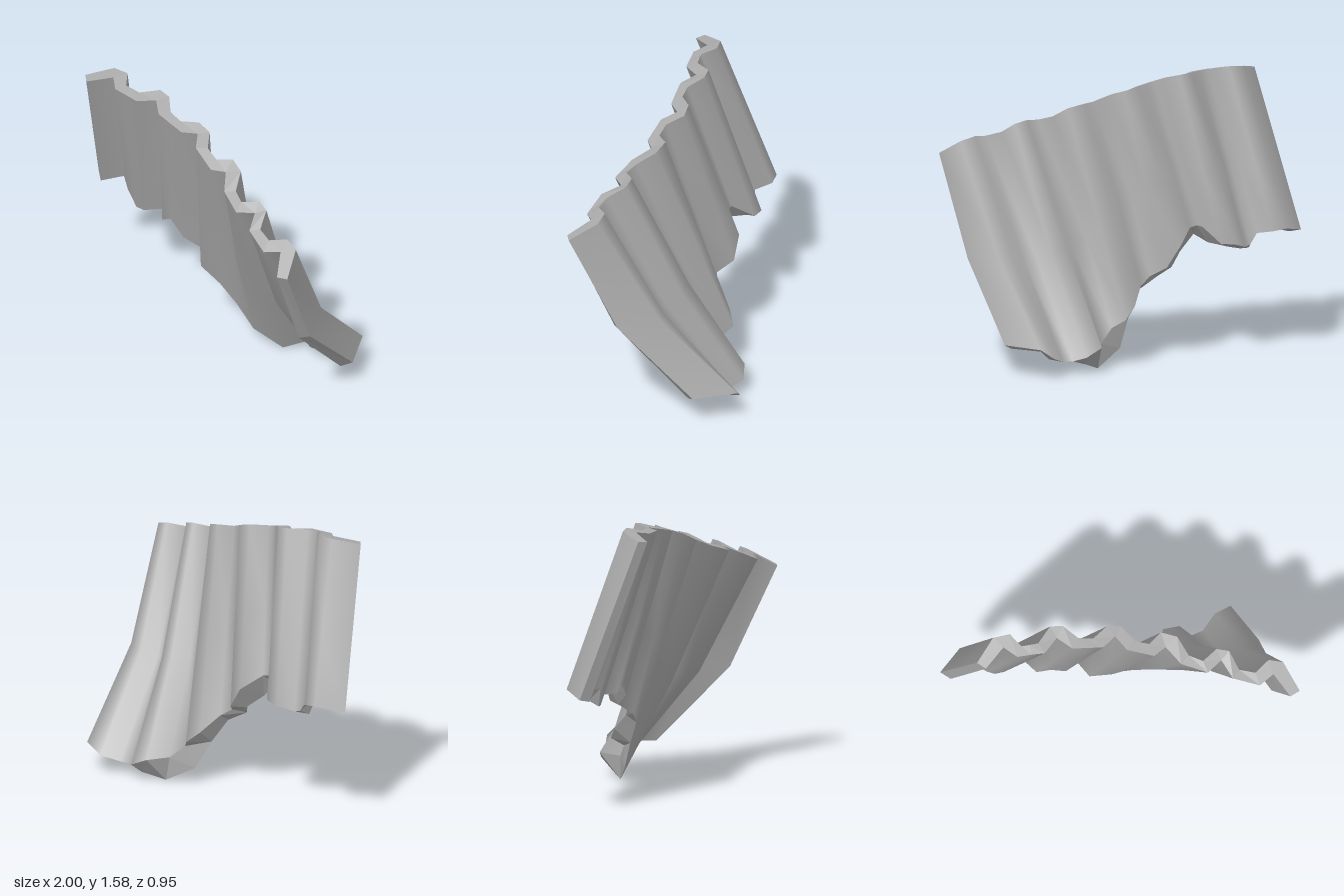
import * as THREE from 'three';
import { mergeVertices } from 'three/addons/utils/BufferGeometryUtils.js';

// Edge profiles of the bent sheet, from right hand (-x) to left hand (+x)
const backTop = [
  [-0.78, 1.54, 0.44], [-0.70, 1.575, 0.30], [-0.61, 1.58, 0.275], [-0.54, 1.56, 0.335], [-0.50, 1.56, 0.325],
  [-0.45, 1.555, 0.31], [-0.39, 1.565, 0.21], [-0.32, 1.555, 0.20], [-0.23, 1.525, 0.255], [-0.19, 1.515, 0.25],
  [-0.15, 1.505, 0.245], [-0.08, 1.505, 0.17], [0, 1.48, 0.155], [0.08, 1.445, 0.225], [0.16, 1.415, 0.225],
  [0.22, 1.42, 0.155], [0.31, 1.395, 0.165], [0.38, 1.335, 0.25], [0.46, 1.315, 0.27], [0.53, 1.33, 0.20],
  [0.60, 1.31, 0.20], [0.66, 1.25, 0.285], [0.75, 1.23, 0.29], [0.82, 1.245, 0.215], [0.90, 1.22, 0.215],
  [1.0, 1.13, 0.345]];
const backBottom = [
  [-1.0, 0.665, 0.19], [-0.90, 0.70, 0.055], [-0.82, 0.69, 0.04], [-0.74, 0.67, 0.105], [-0.70, 0.61, 0.09],
  [-0.67, 0.60, 0.075], [-0.61, 0.63, -0.005], [-0.52, 0.64, -0.01], [-0.43, 0.72, 0.085], [-0.40, 0.73, 0.08],
  [-0.36, 0.72, 0.07], [-0.29, 0.64, -0.035], [-0.21, 0.52, -0.045], [-0.13, 0.465, 0.02], [-0.07, 0.42, -0.02],
  [-0.02, 0.325, -0.12], [0.04, 0.26, -0.175], [0.11, 0.21, -0.13], [0.18, 0.135, -0.19], [0.20, 0.14, -0.33],
  [0.29, 0.096, -0.37], [0.36, 0.07, -0.33], [0.42, 0.075, -0.36], [0.48, 0.11, -0.45], [0.565, 0.17, -0.48],
  [0.735, 0.165, -0.29]];
const frontTop = [
  [-0.73, 1.535, 0.47], [-0.64, 1.565, 0.35], [-0.56, 1.55, 0.395], [-0.48, 1.545, 0.375], [-0.41, 1.54, 0.36],
  [-0.35, 1.54, 0.267], [-0.26, 1.52, 0.316], [-0.17, 1.50, 0.30], [-0.09, 1.48, 0.283], [-0.03, 1.475, 0.214],
  [0.04, 1.445, 0.278], [0.19, 1.385, 0.283], [0.25, 1.38, 0.225], [0.34, 1.33, 0.30], [0.49, 1.285, 0.326],
  [0.56, 1.29, 0.25], [0.63, 1.245, 0.337], [0.78, 1.19, 0.348], [0.85, 1.205, 0.283], [0.95, 1.13, 0.38]];
const frontBottom = [
  [-0.94, 0.65, 0.22], [-0.86, 0.685, 0.12], [-0.74, 0.69, 0.18], [-0.70, 0.58, 0.15], [-0.65, 0.58, 0.135],
  [-0.56, 0.61, 0.06], [-0.47, 0.62, 0.14], [-0.39, 0.67, 0.14], [-0.31, 0.58, 0.11], [-0.25, 0.51, 0.03],
  [-0.18, 0.45, 0.085], [-0.06, 0.38, 0.04], [0, 0.25, -0.03], [0.06, 0.09, -0.10], [0.20, 0, -0.20],
  [0.28, 0.045, -0.31], [0.36, 0.065, -0.27], [0.49, 0.08, -0.30], [0.55, 0.145, -0.40], [0.69, 0.135, -0.24]];

// Each sharp front groove lies opposite a two-point ridge on the back
const frontColumn = [0, 1, 1, 2, 3, 4, 5, 5, 6, 7, 8, 9, 9, 10, 11, 12, 12, 13, 14, 15, 15, 16, 17, 18, 18, 19];

// Fold row: the sheet kinks more and more toward its +x end
const foldRow = (top, bottom) => top.map((p, i) => {
  const w = Math.max(0, (i - 16) / 9);
  const offset = [0.03 * w, 0, 0.12 * w];
  return p.map((v, k) => v + (bottom[i][k] - v) * 0.57 + offset[k]);
});

// Surface through rows of points; rows run downward, columns run rightward
function surface(rows, smooth) {
  const pos = [];
  const same = (a, b) => a.every((v, k) => v === b[k]);
  const triangle = (a, b, c) => {
    if (!same(a, b) && !same(b, c) && !same(c, a)) pos.push(...a, ...b, ...c);
  };
  for (let r = 0; r < rows.length - 1; r++) {
    for (let i = 0; i < rows[r].length - 1; i++) {
      const a = rows[r][i], b = rows[r + 1][i], c = rows[r + 1][i + 1], d = rows[r][i + 1];
      triangle(a, b, c);
      triangle(a, c, d);
    }
  }
  let geo = new THREE.BufferGeometry();
  geo.setAttribute('position', new THREE.Float32BufferAttribute(pos, 3));
  if (smooth) geo = mergeVertices(geo, 1e-5);
  geo.computeVertexNormals();
  return geo;
}

export function createModel() {
  const group = new THREE.Group();
  group.name = 'corrugatedSheet';
  const metal = new THREE.MeshStandardMaterial({ color: 0xaaaaaa });
  metal.name = 'plain grey';

  const fTop = frontColumn.map((i) => frontTop[i]);
  const fBottom = frontColumn.map((i) => frontBottom[i]);
  const front = [fTop, foldRow(fTop, fBottom), fBottom];
  const back = [backTop, foldRow(backTop, backBottom), backBottom];
  const last = backTop.length - 1;

  const add = (name, rows, smooth) => {
    const mesh = new THREE.Mesh(surface(rows, smooth), metal);
    mesh.name = name;
    group.add(mesh);
  };

  // Corrugated faces
  add('frontFace', front, true);
  add('backFace', [...back].reverse(), true);
  // Cut edges
  add('topEdge', [backTop, fTop], false);
  add('tornBottomEdge', [fBottom, backBottom], false);
  add('rightEnd', back.map((row, r) => [row[0], front[r][0]]), false);
  add('leftEnd', front.map((row, r) => [row[last], back[r][last]]), false);
  return group;
}
